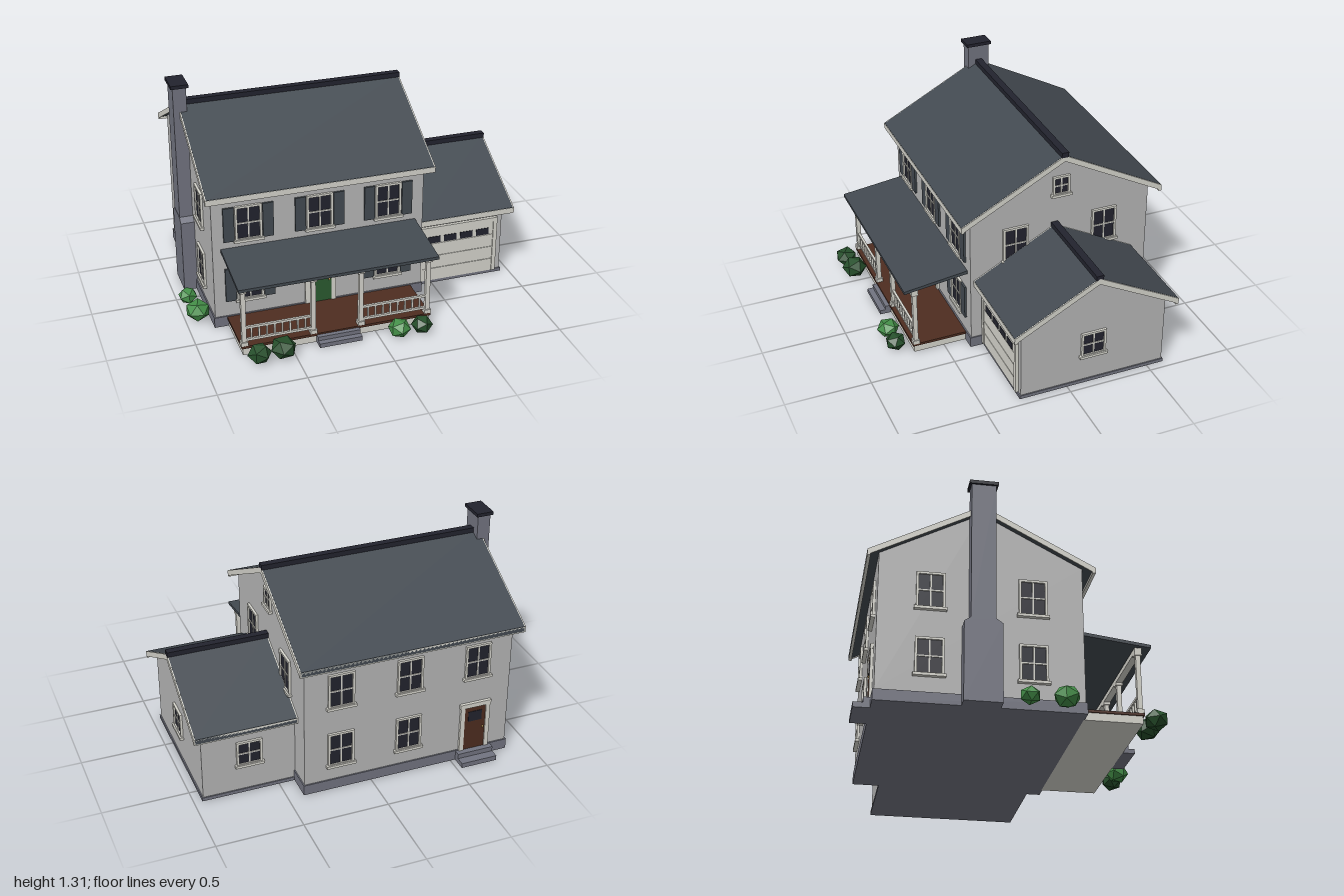
import * as THREE from 'three';

const mat = (name, color) => Object.assign(new THREE.MeshStandardMaterial({ color }), { name });

export function createModel() {
  const M = {
    wall: mat('grey siding', 0xb6b6b6),
    trim: mat('off-white trim', 0xd6d5cd),
    roof: mat('slate roof', 0x434a51),
    dark: mat('dark glass and cap', 0x22232e),
    stone: mat('grey stone', 0x727480),
    door: mat('green door', 0x2a5a30),
    wood: mat('brown wood', 0x4e2d20),
    leaf: mat('light leaf', 0x448f48),
    leafDark: mat('dark leaf', 0x264f2b),
    brass: mat('brass', 0xb08d4a),
  };
  const model = new THREE.Group();
  model.name = 'house';

  const add = (parent, name, geo, m) => {
    const mesh = new THREE.Mesh(geo, m);
    mesh.name = name;
    parent.add(mesh);
    return mesh;
  };
  // Box given by its min and max on each axis
  const box = (parent, name, m, x0, x1, y0, y1, z0, z1) => {
    const b = add(parent, name, new THREE.BoxGeometry(x1 - x0, y1 - y0, z1 - z0), m);
    b.position.set((x0 + x1) / 2, (y0 + y1) / 2, (z0 + z1) / 2);
    return b;
  };
  // Side profile of [z, y] points pulled along x
  const extrudeX = (parent, name, m, pts, x0, x1) => {
    const shape = new THREE.Shape(pts.map(([z, y]) => new THREE.Vector2(-z, y)));
    const geo = new THREE.ExtrudeGeometry(shape, { depth: x1 - x0, bevelEnabled: false });
    geo.rotateY(Math.PI / 2).translate(x0, 0, 0);
    return add(parent, name, geo, m);
  };
  const group = (name, x = 0, y = 0, z = 0, ry = 0) => {
    const g = new THREE.Group();
    g.name = name;
    g.position.set(x, y, z);
    g.rotation.y = ry;
    model.add(g);
    return g;
  };

  // Gabled block: walls, roof slab, rake boards, fascias and ridge cap
  function gable(name, { x0, x1, rx0, rx1, zc, half, wallHalf, base, wallTop, apex, peak, eave }) {
    const g = group(name);
    extrudeX(g, 'walls', M.wall, [
      [zc + wallHalf, base], [zc + wallHalf, wallTop], [zc, apex],
      [zc - wallHalf, wallTop], [zc - wallHalf, base]], x0, x1);
    const chevron = (t, drop) => [
      [zc + half, eave - drop], [zc, peak - drop], [zc - half, eave - drop],
      [zc - half, eave - t], [zc, peak - t], [zc + half, eave - t]];
    extrudeX(g, 'roof', M.roof, chevron(0.03, 0), rx0 + 0.007, rx1 - 0.007);
    extrudeX(g, 'rakeBoard', M.trim, chevron(0.036, 0.001), rx0, rx0 + 0.007);
    extrudeX(g, 'rakeBoard', M.trim, chevron(0.036, 0.001), rx1 - 0.007, rx1);
    for (const s of [-1, 1]) {
      const a = zc + s * half, b = a - s * 0.016;
      box(g, 'fascia', M.trim, rx0, rx1, eave - 0.036, eave - 0.002, Math.min(a, b), Math.max(a, b) + 0.002);
    }
    box(g, 'ridgeCap', M.dark, rx0, rx1, peak - 0.012, peak + 0.018, zc - 0.021, zc + 0.021);
  }
  gable('mainHouse', { x0: -0.85, x1: 0.4, rx0: -0.893, rx1: 0.445, zc: -0.195, half: 0.617,
    wallHalf: 0.552, base: 0.06, wallTop: 0.86, apex: 1.155, peak: 1.175, eave: 0.85 });
  gable('garage', { x0: 0.4, x1: 0.945, rx0: 0.4, rx1: 0.995, zc: -0.158, half: 0.494,
    wallHalf: 0.437, base: 0.02, wallTop: 0.46, apex: 0.695, peak: 0.716, eave: 0.455 });

  // Foundations
  box(model, 'mainFoundation', M.stone, -0.857, 0.407, 0, 0.063, -0.755, 0.365);
  box(model, 'garageFoundation', M.stone, 0.4, 0.952, 0, 0.021, -0.602, 0.287);

  // Chimney
  const chimney = group('chimney');
  box(chimney, 'base', M.stone, -0.93, -0.848, 0, 0.45, -0.298, -0.092);
  extrudeX(chimney, 'shoulder', M.stone, [[-0.092, 0.45], [-0.128, 0.475], [-0.262, 0.475], [-0.298, 0.45]], -0.93, -0.848);
  box(chimney, 'shaft', M.stone, -0.928, -0.85, 0.47, 1.288, -0.262, -0.128);
  box(chimney, 'cap', M.dark, -0.94, -0.838, 1.286, 1.306, -0.274, -0.116);

  // Window with frame, panes and sill; optional shutters
  function windowAt(x, y, z, ry, { w = 0.155, h = 0.215, shutters = false } = {}) {
    const g = group('window', x, y, z, ry);
    const f = 0.013, hw = w / 2, hh = h / 2;
    box(g, 'glass', M.dark, -hw + f, hw - f, -hh + f, hh - f, -0.005, 0.005);
    for (const s of [-1, 1]) {
      const c = s * (hw - f / 2), d = s * (hh - f / 2);
      box(g, 'jamb', M.trim, c - f / 2, c + f / 2, -hh, hh, -0.005, 0.014);
      box(g, 'rail', M.trim, -hw, hw, d - f / 2, d + f / 2, -0.005, 0.014);
      if (shutters) {
        const k = s * (hw + 0.036);
        box(g, 'shutter', M.roof, k - 0.031, k + 0.031, -0.105, 0.105, -0.005, 0.012);
      }
    }
    box(g, 'mullion', M.trim, -0.004, 0.004, -hh + f, hh - f, 0, 0.01);
    box(g, 'muntin', M.trim, -hw + f, hw - f, -0.004, 0.004, 0, 0.01);
    box(g, 'sill', M.trim, -hw - 0.01, hw + 0.01, -hh - 0.008, -hh + 0.008, -0.005, 0.023);
  }
  const FRONT = 0.357, BACK = -0.747, cols = [-0.64, -0.225, 0.185];
  for (const x of cols) {
    windowAt(x, 0.648, FRONT, 0, { shutters: true });
    windowAt(x, 0.648, BACK, Math.PI);
    if (x !== cols[1]) windowAt(x, 0.265, FRONT, 0, { shutters: true });
    if (x !== cols[0]) windowAt(x, 0.265, BACK, Math.PI);
  }
  for (const z of [0.083, -0.467]) {
    windowAt(0.4, 0.648, z, Math.PI / 2);
    for (const y of [0.265, 0.648]) windowAt(-0.85, y, z, -Math.PI / 2);
  }
  windowAt(0.4, 0.968, -0.192, Math.PI / 2, { w: 0.105, h: 0.12 });
  windowAt(0.945, 0.262, -0.155, Math.PI / 2, { w: 0.15, h: 0.155 });
  windowAt(0.67, 0.262, -0.595, Math.PI, { w: 0.15, h: 0.155 });

  // House doors
  function doorAt(name, x, z, ry, m) {
    const g = group(name, x, 0.06, z, ry);
    box(g, 'leaf', m, -0.067, 0.067, 0, 0.287, -0.005, 0.01);
    for (const s of [-1, 1]) {
      box(g, 'jamb', M.trim, s * 0.079 - 0.013, s * 0.079 + 0.013, 0, 0.29, -0.005, 0.016);
    }
    box(g, 'lintel', M.trim, -0.096, 0.096, 0.286, 0.314, -0.005, 0.018);
    box(g, 'glass', M.dark, -0.042, 0.042, 0.19, 0.255, 0.008, 0.013);
    const knob = add(g, 'knob', new THREE.SphereGeometry(0.007, 8, 6), M.brass);
    knob.position.set(0.052, 0.14, 0.016);
  }
  doorAt('frontDoor', -0.225, FRONT, 0, M.door);
  doorAt('backDoor', -0.64, BACK, Math.PI, M.wood);

  // Garage door
  const gd = group('garageDoor', 0.662, 0.02, 0.279);
  for (let i = 0; i < 4; i++) {
    box(gd, 'panel', M.trim, -0.225, 0.225, i * 0.084, i * 0.084 + 0.08, -0.005, 0.012);
    const x = -0.155 + i * 0.1035;
    box(gd, 'glass', M.dark, x - 0.04, x + 0.04, 0.255, 0.297, 0.008, 0.015);
  }
  box(gd, 'backing', M.trim, -0.225, 0.225, 0, 0.335, -0.005, 0.008);
  for (const s of [-1, 1]) box(gd, 'jamb', M.trim, s * 0.237 - 0.012, s * 0.237 + 0.012, 0, 0.34, -0.005, 0.018);
  box(gd, 'lintel', M.trim, -0.249, 0.249, 0.335, 0.362, -0.005, 0.018);

  // Porch deck, roof, posts and railings
  const porch = group('porch');
  box(porch, 'skirt', M.trim, -0.775, 0.325, 0, 0.045, 0.36, 0.682);
  box(porch, 'deck', M.wood, -0.782, 0.332, 0.044, 0.059, 0.36, 0.69);
  extrudeX(porch, 'porchRoof', M.roof, [[0.35, 0.5], [0.738, 0.452], [0.738, 0.434], [0.35, 0.48]], -0.803, 0.353);
  box(porch, 'beam', M.trim, -0.785, 0.335, 0.41, 0.438, 0.65, 0.688);
  const RZ = 0.669;
  for (const x of [-0.765, -0.365, -0.085, 0.315]) {
    box(porch, 'post', M.trim, x - 0.013, x + 0.013, 0.058, 0.415, RZ - 0.013, RZ + 0.013);
    box(porch, 'postBase', M.trim, x - 0.02, x + 0.02, 0.058, 0.082, RZ - 0.02, RZ + 0.02);
    box(porch, 'postCap', M.trim, x - 0.02, x + 0.02, 0.395, 0.412, RZ - 0.02, RZ + 0.02);
  }
  for (const x0 of [-0.765, -0.085]) {
    for (const y of [0.09, 0.168]) box(porch, 'rail', M.trim, x0, x0 + 0.4, y - 0.007, y + 0.007, RZ - 0.007, RZ + 0.007);
    for (let i = 1; i < 9; i++) {
      const x = x0 + i * 0.4 / 9;
      box(porch, 'baluster', M.trim, x - 0.005, x + 0.005, 0.09, 0.168, RZ - 0.005, RZ + 0.005);
    }
  }

  // Steps
  box(model, 'frontStep', M.stone, -0.35, -0.1, 0, 0.026, 0.68, 0.75);
  box(model, 'frontStep', M.stone, -0.35, -0.1, 0, 0.05, 0.68, 0.716);
  box(model, 'backStep', M.stone, -0.75, -0.53, 0, 0.03, -0.845, -0.75);
  box(model, 'backStep', M.stone, -0.75, -0.53, 0, 0.06, -0.792, -0.75);

  // Faceted shrubs
  const shrubs = [
    [-0.94, 0.045, 0.058, M.leaf], [-0.925, 0.24, 0.075, M.leaf],
    [-0.705, 0.775, 0.07, M.leafDark], [-0.565, 0.765, 0.076, M.leafDark],
    [0.112, 0.77, 0.066, M.leaf], [0.248, 0.77, 0.062, M.leafDark]];
  shrubs.forEach(([x, z, r, m], i) => {
    const s = add(model, 'shrub', new THREE.IcosahedronGeometry(r, 0).rotateY(i * 1.3).scale(1, 0.85, 1), m);
    s.position.set(x, r * 0.8, z);
  });
  m_flat(M);
  return model;
}

// Facets on the shrubs
function m_flat(M) {
  M.leaf.flatShading = M.leafDark.flatShading = true;
}
